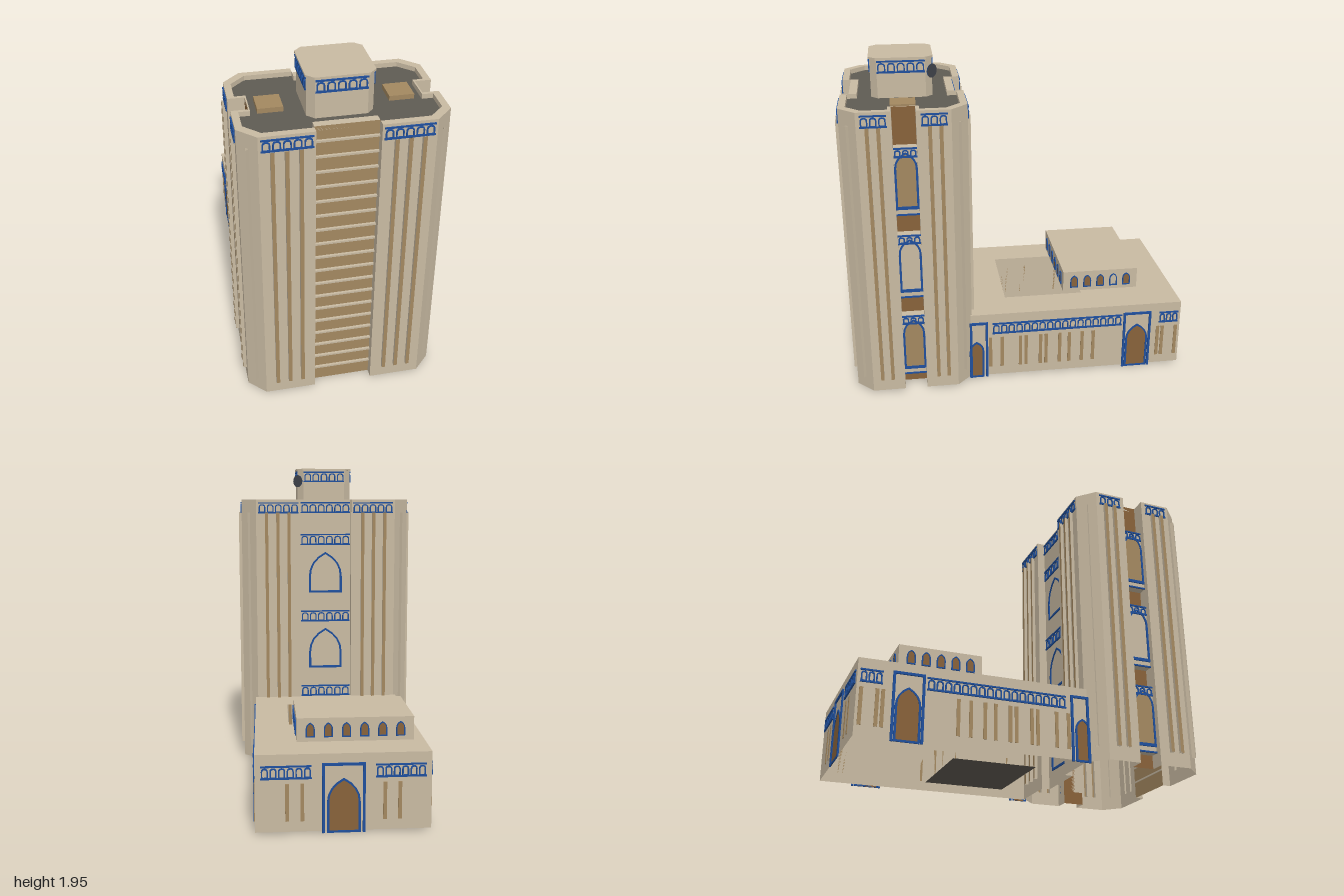
import * as THREE from 'three';

const mat = (name, color) => new THREE.MeshStandardMaterial({ name, color, side: THREE.DoubleSide });

export function createModel() {
  const model = new THREE.Group();
  model.name = 'towerBuilding';
  const stone = mat('sandstone', 0xc8baa2), tan = mat('tanPanel', 0xa38860), brown = mat('darkWood', 0x88623a);
  const blue = mat('blueTile', 0x1f4f9c), dark = mat('darkRoof', 0x5f5b53), grey = mat('dishGrey', 0x40444c);

  const add = (parent, name, geo, material, x = 0, y = 0, z = 0) => {
    const m = new THREE.Mesh(geo, material);
    m.name = name;
    m.position.set(x, y, z);
    parent.add(m);
    return m;
  };
  const group = (name, x = 0, y = 0, z = 0, angle = 0) => {
    const g = new THREE.Group();
    g.name = name;
    g.position.set(x, y, z);
    g.rotation.y = angle;
    model.add(g);
    return g;
  };
  const box = (parent, name, w, h, d, material, x, y, z) =>
    add(parent, name, new THREE.BoxGeometry(w, h, d), material, x, y, z);

  // Upright open walls above a list of plan segments [[x,z],[x,z]]
  const walls = (segments, y0, y1) => {
    const p = [];
    for (const [[ax, az], [bx, bz]] of segments)
      p.push(ax, y0, az, bx, y0, bz, bx, y1, bz, ax, y0, az, bx, y1, bz, ax, y1, az);
    const g = new THREE.BufferGeometry();
    g.setAttribute('position', new THREE.Float32BufferAttribute(p, 3));
    g.computeVertexNormals();
    return g;
  };
  const planShape = pts => new THREE.Shape(pts.map(([x, y]) => new THREE.Vector2(x, y)));
  const slab = (shape, h) =>
    new THREE.ExtrudeGeometry(shape, { depth: h, bevelEnabled: false }).rotateX(-Math.PI / 2);
  const plate = (shape, t = 0.006) =>
    new THREE.ExtrudeGeometry(shape, { depth: t, bevelEnabled: false, curveSegments: 4 });

  // Pointed or round arch outline standing on y = y0
  const arch = (w, h, pointed, y0 = 0) => {
    const s = new THREE.Shape(), r = w / 2, spring = y0 + h - w * (pointed ? 0.75 : 0.5), top = y0 + h;
    const cy = pointed ? spring + (top - spring) * 0.65 : top;
    s.moveTo(-r, y0).lineTo(r, y0).lineTo(r, spring);
    s.quadraticCurveTo(r, cy, 0, top).quadraticCurveTo(-r, cy, -r, spring);
    return s;
  };
  const archRing = (w, h, t, pointed) => {
    const s = arch(w, h, pointed);
    s.holes.push(arch(w - 2 * t, h - 2 * t, pointed, t));
    return plate(s);
  };
  const archWindow = (parent, name, w, h, t, x, y, fill, pointed = true) => {
    if (fill) add(parent, name + 'Pane', plate(arch(w - t, h - t, pointed), 0.003), fill, x, y, 0.001);
    add(parent, name + 'Frame', archRing(w, h, t, pointed), blue, x, y, 0.001);
  };
  // Band of small arches between two blue rails
  const frieze = (parent, x0, x1, y0, y1, n) => {
    const w = x1 - x0, step = w / n, geo = archRing(step * 0.82, y1 - y0 - 0.008, 0.0075, false);
    for (const y of [y0, y1]) box(parent, 'friezeRail', w, 0.009, 0.007, blue, (x0 + x1) / 2, y, 0.004);
    for (let i = 0; i < n; i++) add(parent, 'friezeArch', geo, blue, x0 + step * (i + 0.5), y0, 0.001);
  };
  const portal = (parent, x, w, h, doorX, doorW, doorH) => {
    box(parent, 'portalTop', w, 0.014, 0.009, blue, x, h - 0.007, 0.005);
    for (const s of [-1, 1]) box(parent, 'portalSide', 0.014, h, 0.009, blue, x + s * (w / 2 - 0.007), h / 2, 0.005);
    archWindow(parent, 'door', doorW, doorH, 0.012, doorX, 0, brown);
  };

  // ---- Tower: one quarter of the plan, mirrored four ways
  const TZ = 0.65, TOP = 1.743;
  const quarter = [[0.167, 0.3], [0.167, 0.35], [0.455, 0.35], [0.55, 0.255], [0.55, 0.065], [0.46, 0.065]];
  const inner = [[0.167, 0.255], [0.167, 0.31], [0.43, 0.31], [0.512, 0.228], [0.512, 0.085], [0.452, 0.085]];
  const grooves = { 1: [0.075, 0.147, 0.22], 2: [0.067], 3: [0.057, 0.118] };
  const fourWays = q => [[1, 1], [1, -1], [-1, -1], [-1, 1]].flatMap(([sx, sz]) => {
    const pts = q.map(([x, z]) => [x * sx, z * sz]);
    return sx * sz < 0 ? pts.reverse() : pts;
  });
  const plain = [], grooved = [], backs = [];
  for (const sx of [1, -1]) for (const sz of [1, -1]) {
    const put = (list, a, b) => {
      const s = [a, b].map(([x, z]) => [x * sx, z * sz]);
      list.push(sx * sz < 0 ? s.reverse() : s);
    };
    for (let i = 0; i < 5; i++) {
      const [a, b] = [quarter[i], quarter[i + 1]];
      const len = Math.hypot(b[0] - a[0], b[1] - a[1]);
      const d = [(b[0] - a[0]) / len, (b[1] - a[1]) / len];
      const at = (t, depth = 0) => [a[0] + d[0] * t + d[1] * depth, a[1] + d[1] * t - d[0] * depth];
      put(plain, a, b);
      let start = 0;
      for (const c of grooves[i] || []) {
        const [l, r] = [c - 0.01, c + 0.01];
        put(grooved, at(start), at(l));
        put(grooved, at(l), at(l, -0.02));
        put(grooved, at(r, -0.02), at(r));
        put(i === 2 ? grooved : backs, at(l, -0.02), at(r, -0.02));
        start = r;
      }
      put(grooved, at(start), b);
    }
  }
  const tower = group('tower', 0, 0, TZ);
  add(tower, 'towerBase', walls(plain, 0.01, 0.09), stone);
  add(tower, 'towerWalls', walls(grooved, 0.09, 1.66), stone);
  add(tower, 'towerCrown', walls(plain, 1.66, TOP), stone);
  add(tower, 'grooveStrips', walls(backs, 0.09, 1.66), tan);
  add(tower, 'frontRecess', walls([[[-0.167, 0.3], [0.167, 0.3]]], 0.01, TOP), tan);
  add(tower, 'backRecess', walls([[[0.167, -0.3], [-0.167, -0.3]]], 0.01, TOP), stone);
  for (const s of [1, -1])
    add(tower, 'sideRecess', walls([[[s * 0.46, s * 0.065], [s * 0.46, -s * 0.065]]], 0.01, TOP), brown);
  const rim = planShape(fourWays(quarter));
  add(tower, 'towerRoof', new THREE.ShapeGeometry(rim).rotateX(-Math.PI / 2), dark, 0, 1.715);
  const ring = planShape(fourWays(quarter));
  ring.holes.push(planShape(fourWays(inner)));
  add(tower, 'parapet', slab(ring, 0.027), stone, 0, 1.716);
  for (let i = 0; i < 18; i++)
    box(tower, 'floorBand', 0.334, 0.011, 0.016, stone, 0, 0.108 + i * 0.0913, 0.306);
  for (const s of [1, -1]) box(tower, 'roofHatch', 0.135, 0.035, 0.14, tan, s * 0.347, 1.725, 0);

  // Friezes on all tower faces
  for (const [z, a] of [[1, 0], [0.3, Math.PI]]) {
    const g = group('towerFrieze', 0, 0, z, a);
    frieze(g, -0.442, -0.178, 1.66, 1.722, 5);
    frieze(g, 0.178, 0.442, 1.66, 1.722, 5);
  }
  for (const s of [1, -1]) {
    const g = group('towerSideFrieze', s * 0.55, 0, TZ, s * Math.PI / 2);
    frieze(g, -0.235, -0.09, 1.66, 1.722, 3);
    frieze(g, 0.09, 0.235, 1.66, 1.722, 3);
    // Projecting bays in the side recesses
    const bays = group('sideBays', s * 0.51, 0, TZ, s * Math.PI / 2);
    [0.088, 0.608, 1.128].forEach((y, i) => {
      box(bays, 'bay', 0.13, 0.4, 0.05, stone, 0, y + 0.2, -0.025);
      for (const h of [0.004, 0.04]) box(bays, 'bayRail', 0.13, 0.009, 0.007, blue, 0, y + h, 0.004);
      archWindow(bays, 'bayArch', 0.13, 0.33, 0.012, 0, y + 0.042, i === 1 ? null : tan);
      frieze(bays, -0.065, 0.065, y + 0.345, y + 0.394, 3);
    });
  }
  // Back recess decoration
  const back = group('backDecoration', 0, 0, TZ - 0.3, Math.PI);
  frieze(back, -0.163, 0.163, 1.66, 1.722, 6);
  for (const y of [0.11, 0.62, 1.13]) {
    archWindow(back, 'backArch', 0.22, 0.27, 0.014, 0, y, null);
    frieze(back, -0.163, 0.163, y + 0.32, y + 0.385, 6);
  }

  // ---- Penthouse with cap, friezes and dish
  const octagon = (r, c) => planShape(fourWays([[r - c, r], [r, r - c]]));
  const pent = group('penthouse', 0, 0, TZ);
  add(pent, 'penthouseWalls', slab(octagon(0.175, 0.038), 0.22), stone, 0, 1.715);
  add(pent, 'penthouseCap', slab(octagon(0.182, 0.04), 0.012), stone, 0, 1.935);
  for (let i = 0; i < 4; i++) {
    const a = i * Math.PI / 2;
    frieze(group('penthouseFrieze', Math.sin(a) * 0.175, 0, TZ + Math.cos(a) * 0.175, a), -0.136, 0.136, 1.863, 1.925, 5);
  }
  const dish = group('dish', 0.175, 1.865, 0.477, Math.PI * 0.75);
  add(dish, 'dishBack', new THREE.SphereGeometry(0.04, 20, 6, 0, Math.PI * 2, 0, Math.PI / 2).scale(1, 0.3, 1).rotateX(-Math.PI / 2), blue);
  add(dish, 'dishFace', new THREE.CircleGeometry(0.04, 20), grey, 0, 0, 0.002);

  // ---- Low wing around an open courtyard
  const wing = group('wing');
  add(wing, 'wingWalls', walls([[[0.47, 0.31], [0.47, -1]], [[0.47, -1], [-0.47, -1]], [[-0.47, -1], [-0.47, 0.31]]], 0.01, 0.433), stone);
  const roof = planShape([[-0.47, -0.31], [0.47, -0.31], [0.47, 1], [-0.47, 1]]);
  roof.holes.push(planShape([[-0.27, -0.075], [0.27, -0.075], [0.27, 0.41], [-0.27, 0.41]]));
  add(wing, 'wingRoof', new THREE.ShapeGeometry(roof).rotateX(-Math.PI / 2), stone, 0, 0.433);
  add(wing, 'courtyardFloor', new THREE.PlaneGeometry(0.54, 0.485).rotateX(-Math.PI / 2), dark, 0, 0.008, -0.167);

  const strip = (g, x) => box(g, 'wallStrip', 0.02, 0.205, 0.004, tan, x, 0.17, 0.002);
  for (const s of [1, -1]) {
    const g = group('wingSide', s * 0.47, 0, 0, s * Math.PI / 2);
    const span = (z0, z1, n) => frieze(g, Math.min(-s * z0, -s * z1), Math.max(-s * z0, -s * z1), 0.303, 0.368, n);
    span(0.177, -0.627, 17);
    span(-0.865, -0.985, 3);
    for (const z of [0.19, 0.118, 0.005, -0.03, -0.12, -0.155, -0.24, -0.3, -0.38, -0.45, -0.86, -0.89, -0.975]) strip(g, -s * z);
    portal(g, s * 0.725, 0.175, 0.382, s * 0.725, 0.14, 0.3);
    portal(g, -s * 0.26, 0.11, 0.382, -s * 0.274, 0.09, 0.25);
  }
  const rear = group('wingBack', 0, 0, -1, Math.PI);
  portal(rear, 0, 0.23, 0.382, 0, 0.18, 0.3);
  for (const s of [1, -1]) {
    frieze(rear, s > 0 ? 0.17 : -0.44, s > 0 ? 0.44 : -0.17, 0.303, 0.368, 6);
    for (const x of [0.22, 0.3]) strip(rear, s * x);
  }

  // ---- Pavilion on the wing roof
  const [px, pz, pw, pd] = [-0.085, -0.538, 0.65, 0.475];
  box(wing, 'pavilion', pw, 0.133, pd, stone, px, 0.4995, pz);
  for (let i = 0; i < 4; i++) {
    const a = i * Math.PI / 2, n = i % 2 ? 5 : 6, step = i % 2 ? 0.084 : 0.1;
    const g = group('pavilionWindows', px + Math.sin(a) * pw / 2, 0, pz + Math.cos(a) * pd / 2, a);
    for (let k = 0; k < n; k++)
      archWindow(g, 'pavilionWindow', 0.05, 0.083, 0.007, (k - (n - 1) / 2) * step, 0.458, i === 1 && k === 3 ? null : brown);
  }
  return model;
}
